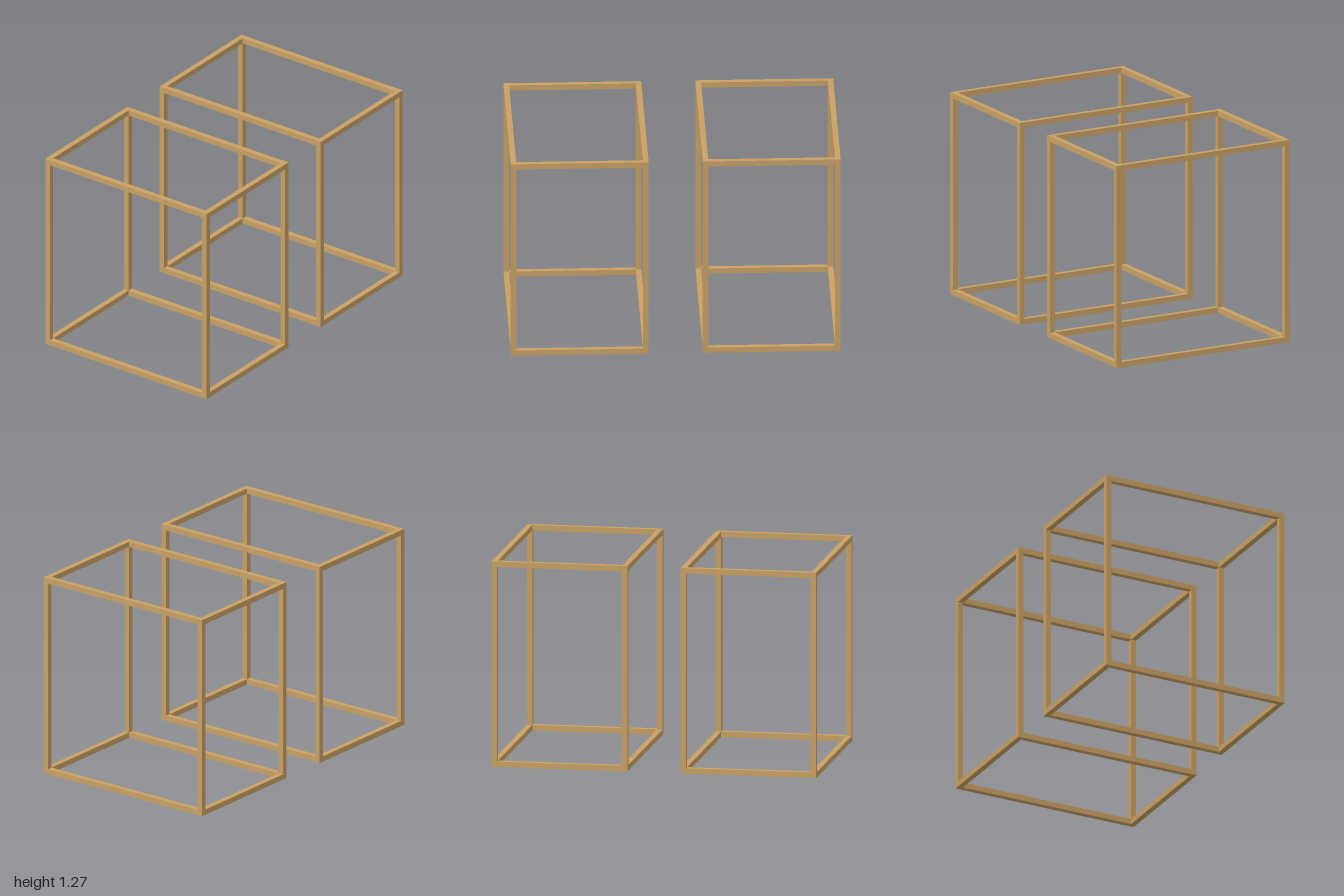
import * as THREE from 'three';

const T = 0.034;                      // bar thickness
const W = 0.836, H = 1.268, D = 1.214; // outer size of one frame

export function createModel() {
  const wood = new THREE.MeshStandardMaterial({ color: 0xc8a064 });
  wood.name = 'wood';
  const model = new THREE.Group();
  model.name = 'pairOfBoxFrames';

  const addBar = (parent, name, size, pos) => {
    const bar = new THREE.Mesh(new THREE.BoxGeometry(...size), wood);
    bar.name = name;
    bar.position.set(...pos);
    parent.add(bar);
  };

  // One open box frame: four posts joined by rails at top and bottom
  const createFrame = (name) => {
    const frame = new THREE.Group();
    frame.name = name;
    const x = (W - T) / 2, z = (D - T) / 2;
    for (const a of [-1, 1]) {
      for (const b of [-1, 1]) {
        const y = b < 0 ? T / 2 : H - T / 2;
        const level = b < 0 ? 'bottom' : 'top';
        addBar(frame, 'post', [T, H, T], [a * x, H / 2, b * z]);
        addBar(frame, level + 'CrossRail', [W - 2 * T, T, T], [0, y, a * z]);
        addBar(frame, level + 'SideRail', [T, T, D - 2 * T], [a * x, y, 0]);
      }
    }
    return frame;
  };

  // Two matching frames side by side
  for (const side of [-1, 1]) {
    const frame = createFrame(side < 0 ? 'rightFrame' : 'leftFrame');
    frame.position.x = side * (1 - W / 2);
    model.add(frame);
  }
  return model;
}
